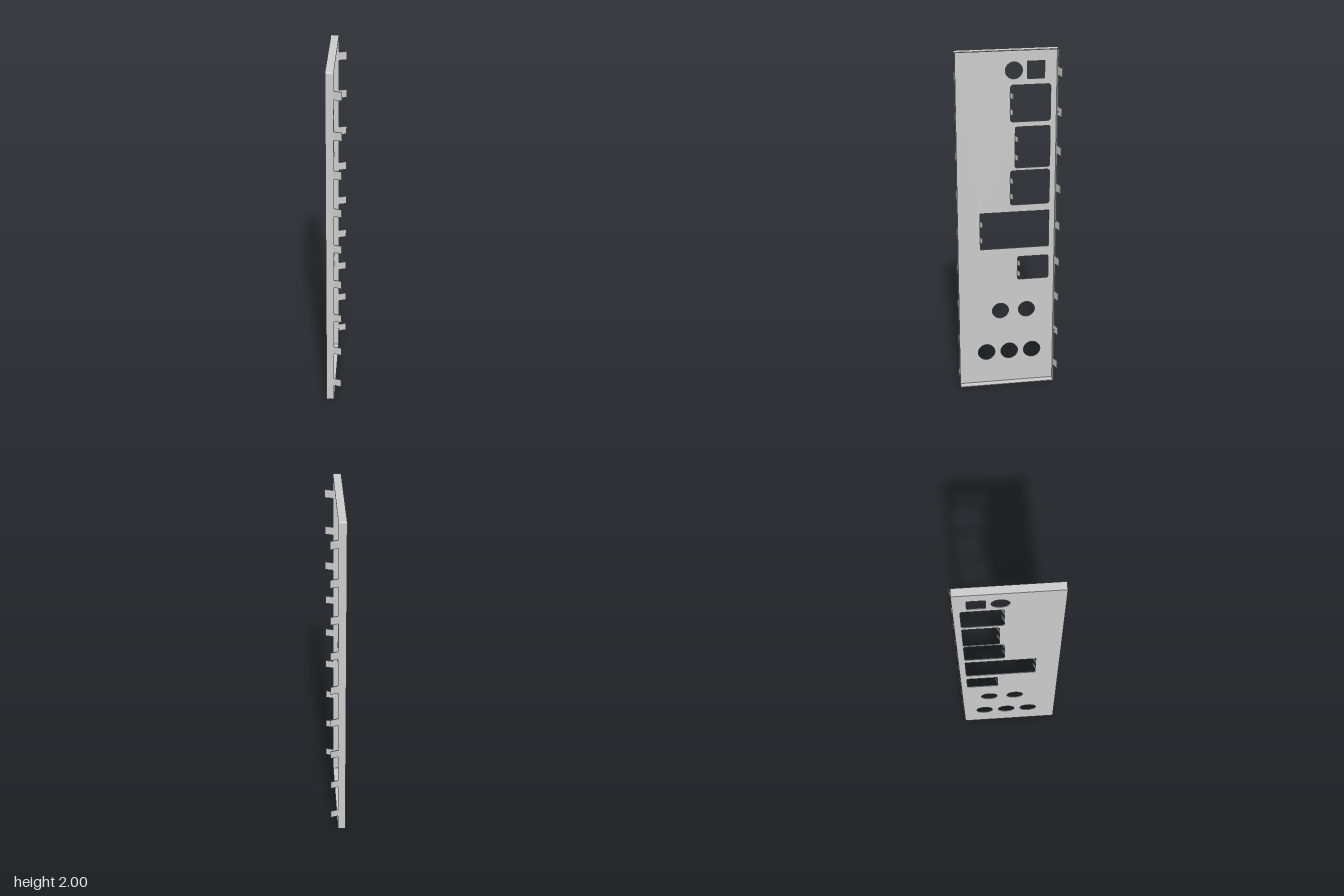
import * as THREE from 'three';

const material = new THREE.MeshStandardMaterial({ color: 0xcccccc });
const BACK = -0.043, HALF = 0.277, HEIGHT = 2, T = 0.004;

// Rounded rectangle traced on a Shape or Path
function roundedRect(path, x0, y0, x1, y1, r) {
  path.moveTo(x0 + r, y0);
  path.lineTo(x1 - r, y0);
  path.absarc(x1 - r, y0 + r, r, -Math.PI / 2, 0);
  path.lineTo(x1, y1 - r);
  path.absarc(x1 - r, y1 - r, r, 0, Math.PI / 2);
  path.lineTo(x0 + r, y1);
  path.absarc(x0 + r, y1 - r, r, Math.PI / 2, Math.PI);
  path.lineTo(x0, y0 + r);
  path.absarc(x0 + r, y0 + r, r, Math.PI, Math.PI * 1.5);
  return path;
}

function circle(x, y, r) {
  return new THREE.Path().absarc(x, y, r, 0, Math.PI * 2);
}

// Extrude a profile drawn in (-z, y) towards +x, starting at x = start
function extrudeX(name, shape, start, depth, curveSegments) {
  const g = new THREE.ExtrudeGeometry(shape, { depth, bevelEnabled: false, curveSegments });
  g.rotateY(Math.PI / 2).translate(start, 0, 0);
  const mesh = new THREE.Mesh(g, material);
  mesh.name = name;
  return mesh;
}

// Thin bent tab from (x, z), running dx and dz, centred on height y
function tab(name, x, y, z, dx, dz, height) {
  const mesh = new THREE.Mesh(new THREE.BoxGeometry(Math.hypot(dx, dz), height, T), material);
  mesh.position.set(x + dx / 2, y, z + dz / 2);
  mesh.rotation.y = -Math.atan2(dz, dx);
  mesh.name = name;
  return mesh;
}

export function createModel() {
  const group = new THREE.Group();
  group.name = 'portPlate';

  // Port openings: [u0, y0, u1, y1, corner radius, heights of contact tabs], u = -z
  const openings = [
    [0.114, 1.833, 0.207, 1.928, 0.003, []],
    [0.024, 1.597, 0.241, 1.801, 0.014, [1.745, 1.655]],
    [0.05, 1.334, 0.241, 1.568, 0.01, [1.504, 1.398]],
    [0.024, 1.117, 0.241, 1.318, 0.014, [1.263, 1.172]],
    [-0.146, 0.857, 0.241, 1.075, 0.002, [1.013, 0.918]],
    [0.066, 0.66, 0.241, 0.801, 0.01, [0.765, 0.7]],
  ];
  // Round openings: [u, y, radius]
  const rounds = [
    [0.042, 1.881, 0.046],
    [-0.033, 0.467, 0.047], [0.118, 0.467, 0.047],
    [-0.115, 0.202, 0.049], [0.018, 0.202, 0.049], [0.151, 0.202, 0.049],
  ];

  // Face plate with openings
  const face = roundedRect(new THREE.Shape(), -HALF, 0, HALF, HEIGHT, 0.008);
  for (const [u0, y0, u1, y1, r] of openings) face.holes.push(roundedRect(new THREE.Path(), u0, y0, u1, y1, r));
  for (const [u, y, r] of rounds) face.holes.push(circle(u, y, r));
  group.add(extrudeX('facePlate', face, BACK, T, 16));

  // Rim folded around the plate
  const rim = roundedRect(new THREE.Shape(), -HALF, 0, HALF, HEIGHT, 0.008);
  rim.holes.push(roundedRect(new THREE.Path(), -HALF + T, T, HALF - T, HEIGHT - T, 0.004));
  group.add(extrudeX('rim', rim, BACK + T, -BACK - T, 6));

  // Contact tabs bent inwards at the openings
  for (const [u0, , , , , heights] of openings) {
    for (const y of heights) group.add(tab('contactTab', BACK + T / 2, y, -u0 + 0.001, 0.026, -0.013, 0.032));
  }

  // Spring tabs splayed outwards along both long edges
  for (let i = 0; i < 9; i++) {
    for (const side of [-1, 1]) {
      group.add(tab('springTab', -0.001, 0.127 + i * 0.219, side * (HALF - T / 2), 0.043, side * 0.013, 0.047));
    }
  }
  return group;
}
